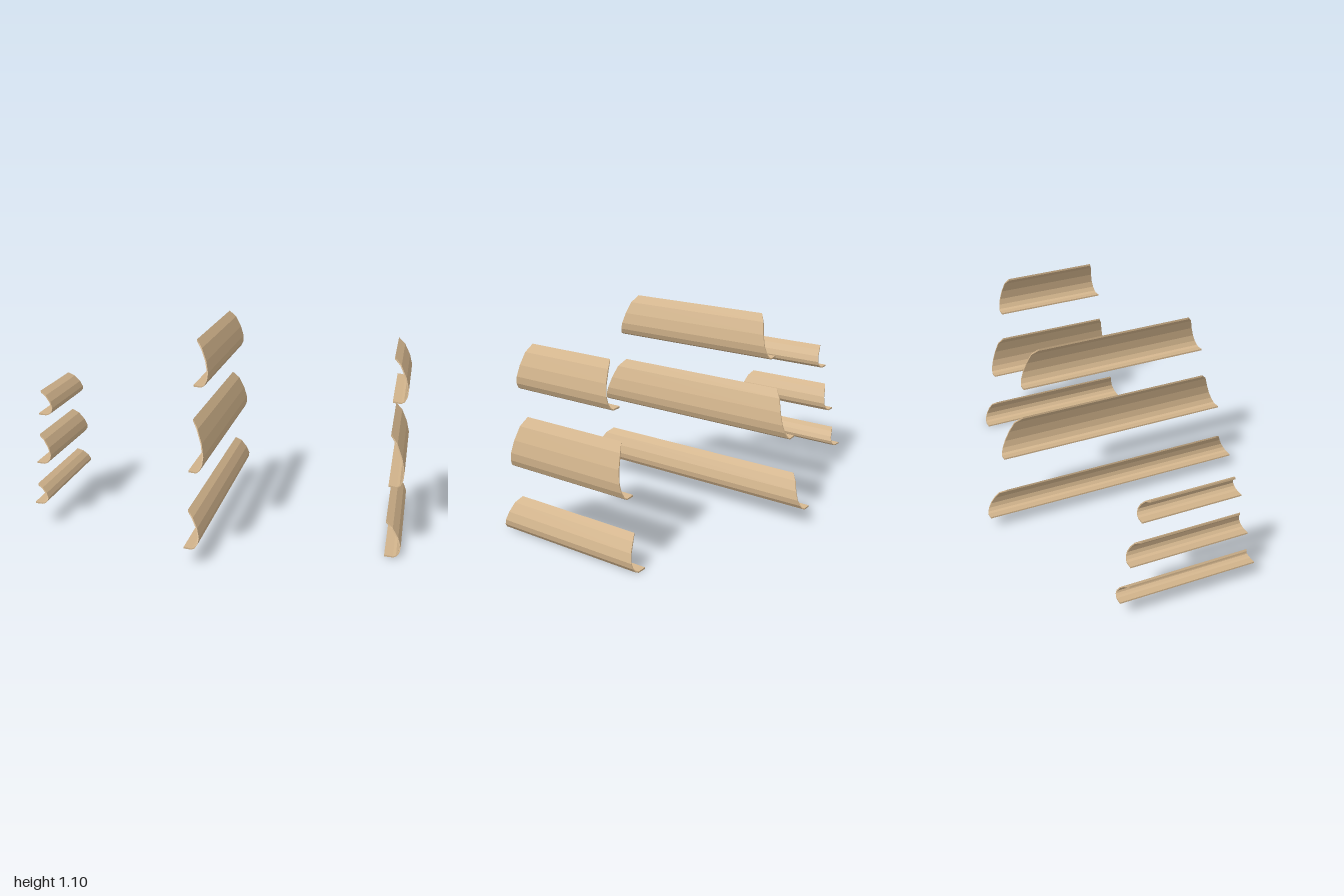
import * as THREE from 'three';

// Outer cross-section, top edge to lip: [x share, height share, end flare share]
const PROFILE = [
  [0, 1, 0], [0.45, 0.83, 0.33], [0.82, 0.56, 0.55], [1, 0.31, 0.74],
  [0.95, 0.15, 0.87], [0.78, 0.04, 0.96], [0.56, 0, 1], [0, 0.015, 0.99],
];

// x range, y range, half length along the top edge, half length along the lip
const PANELS = [
  ['leftLower', 0.918, 1.0, 0, 0.173, 0.39, 0.455],
  ['leftMiddle', 0.922, 1.0, 0.355, 0.62, 0.32, 0.39],
  ['leftUpper', 0.922, 1.0, 0.78, 1.01, 0.26, 0.315],
  ['centreLower', -0.07, 0.003, 0.085, 0.258, 0.65, 0.752],
  ['centreMiddle', -0.066, 0.005, 0.455, 0.705, 0.533, 0.65],
  ['centreUpper', -0.066, 0.005, 0.867, 1.096, 0.43, 0.52],
  ['rightLower', -1.0, -0.93, 0.125, 0.225, 0.33, 0.38],
  ['rightMiddle', -1.0, -0.925, 0.34, 0.493, 0.27, 0.325],
  ['rightUpper', -1.0, -0.925, 0.602, 0.73, 0.225, 0.268],
];

// Thin curved sheet whose ends flare out towards the lip
function panelGeometry(x0, x1, y0, y1, halfTop, halfLip) {
  const outer = PROFILE.map(([u, v, f]) => [
    x0 + u * (x1 - x0), y0 + v * (y1 - y0), halfTop + f * (halfLip - halfTop)]);
  const last = outer.length - 1;
  const inner = outer.map(([x, y, z], i) => {
    if (i === 0) return [x, y - 0.011, z];
    if (i === last) return [x, y + 0.009, z];
    const a = outer[i - 1], b = outer[i + 1];
    const dx = b[0] - a[0], dy = b[1] - a[1], len = Math.hypot(dx, dy);
    const t = 0.006;
    return [x + (dy / len) * t, y - (dx / len) * t, z];
  });

  const pos = [];
  const quad = (a, b, c, d) => pos.push(...a, ...b, ...c, ...a, ...c, ...d);
  const back = ([x, y, z]) => [x, y, -z];

  // Skin around the closed section
  const loop = [...outer, ...inner.slice().reverse()];
  loop.forEach((p, i) => {
    const q = loop[(i + 1) % loop.length];
    quad(p, q, back(q), back(p));
  });
  // End faces
  for (let i = 0; i < last; i++) {
    quad(outer[i], inner[i], inner[i + 1], outer[i + 1]);
    quad(back(outer[i]), back(outer[i + 1]), back(inner[i + 1]), back(inner[i]));
  }

  const geometry = new THREE.BufferGeometry();
  geometry.setAttribute('position', new THREE.Float32BufferAttribute(pos, 3));
  geometry.computeVertexNormals();
  return geometry;
}

export function createModel() {
  const group = new THREE.Group();
  group.name = 'curvedPanels';
  const material = new THREE.MeshStandardMaterial({
    color: 0xd2b48c, flatShading: true, side: THREE.DoubleSide });
  for (const [name, ...dims] of PANELS) {
    const mesh = new THREE.Mesh(panelGeometry(...dims), material);
    mesh.name = name + 'Panel';
    group.add(mesh);
  }
  return group;
}
